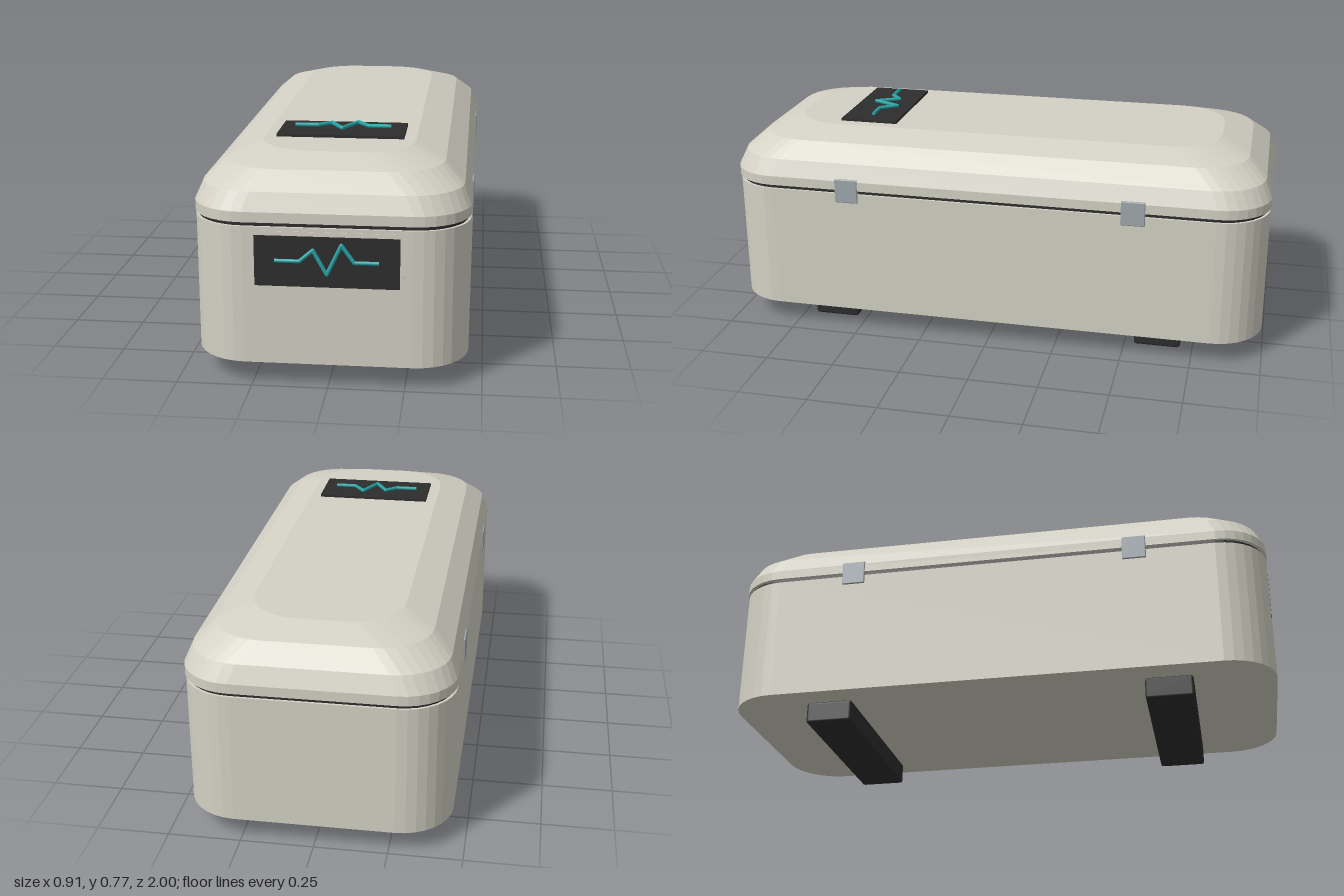
import * as THREE from 'three';
import { RoundedBoxGeometry } from 'three/addons/geometries/RoundedBoxGeometry.js';

// Outline of a rounded rectangle in the ground plane
function roundedRing(halfX, halfZ, radius, steps = 8) {
  const points = [];
  const corners = [[1, 1], [-1, 1], [-1, -1], [1, -1]];
  corners.forEach(([sx, sz], c) => {
    for (let i = 0; i <= steps; i++) {
      const a = (c + i / steps) * Math.PI / 2;
      points.push([
        sx * (halfX - radius) + radius * Math.cos(a),
        sz * (halfZ - radius) + radius * Math.sin(a),
      ]);
    }
  });
  return points;
}

// Closed shell through levels of [y, halfX, halfZ, radius], bottom to top
function shell(levels) {
  const rings = levels.map(([y, hx, hz, r]) =>
    roundedRing(hx, hz, r).map(([x, z]) => [x, y, z]));
  const pos = [];
  const tri = (...corners) => corners.forEach((p) => pos.push(...p));
  const n = rings[0].length;
  const low = rings[0], high = rings[rings.length - 1];
  for (let i = 0; i < n; i++) {
    const j = (i + 1) % n;
    for (let k = 0; k < rings.length - 1; k++) {
      const a = rings[k], b = rings[k + 1];
      tri(a[i], b[i], b[j]);
      tri(a[i], b[j], a[j]);
    }
    tri([0, low[0][1], 0], low[i], low[j]);
    tri([0, high[0][1], 0], high[j], high[i]);
  }
  const geometry = new THREE.BufferGeometry();
  geometry.setAttribute('position', new THREE.Float32BufferAttribute(pos, 3));
  geometry.computeVertexNormals();
  return geometry;
}

export function createModel() {
  const model = new THREE.Group();
  model.name = 'storageCase';

  const material = (name, color) => {
    const m = new THREE.MeshStandardMaterial({ color });
    m.name = name;
    return m;
  };
  const casing = material('warm grey casing', 0xd3d1c4);
  const dark = material('charcoal', 0x2d2d2d);
  const teal = material('teal', 0x27a3a4);
  const metal = material('latch grey', 0x9ea7ac);

  const add = (name, geometry, mat, x = 0, y = 0, z = 0, parent = model) => {
    const mesh = new THREE.Mesh(geometry, mat);
    mesh.name = name;
    mesh.position.set(x, y, z);
    parent.add(mesh);
    return mesh;
  };

  // Tub, recessed seal and domed lid
  add('tub', shell([[0.08, 0.452, 0.994, 0.18], [0.542, 0.452, 0.994, 0.18]]), casing);
  add('seal', shell([[0.535, 0.443, 0.985, 0.172], [0.565, 0.443, 0.985, 0.172]]), dark);
  const lidSteps = [[0.556, 0], [0.59, 0], [0.65, 0.025], [0.708, 0.09], [0.745, 0.195]];
  add('lid', shell(lidSteps.map(([y, inset]) =>
    [y, 0.454 - inset, 0.997 - inset, 0.18])), casing);

  // Two cross feet
  for (const s of [1, -1]) {
    add('foot', new RoundedBoxGeometry(0.72, 0.08, 0.17, 2, 0.01), dark, 0, 0.04, s * 0.62);
  }

  // Four latches across the seam
  for (const sx of [1, -1]) {
    for (const sz of [1, -1]) {
      add('latch', new RoundedBoxGeometry(0.02, 0.09, 0.086, 2, 0.004), metal,
        sx * 0.447, 0.553, sz * 0.525);
    }
  }

  // Pulse line made of short round bars, drawn in its own x-y plane
  const pulsePoints = [[-0.168, 0], [-0.088, 0], [-0.044, 0.038], [0, -0.042],
    [0.047, 0.057], [0.088, 0], [0.166, 0]].map(([x, y]) => new THREE.Vector3(x, y, 0));
  const up = new THREE.Vector3(0, 1, 0);
  const pulseLine = (name) => {
    const group = new THREE.Group();
    group.name = name;
    for (let i = 0; i < pulsePoints.length - 1; i++) {
      const a = pulsePoints[i], b = pulsePoints[i + 1];
      const dir = b.clone().sub(a);
      const bar = add('pulseBar', new THREE.CylinderGeometry(0.007, 0.007, dir.length(), 10), teal,
        (a.x + b.x) / 2, (a.y + b.y) / 2, 0, group);
      bar.quaternion.setFromUnitVectors(up, dir.normalize());
      if (i > 0) add('pulseJoint', new THREE.SphereGeometry(0.007, 10, 8), teal, a.x, a.y, 0, group);
    }
    model.add(group);
    return group;
  };

  // Front display with a slim frame
  add('frontFrame', new THREE.BoxGeometry(0.495, 0.197, 0.008), casing, 0, 0.431, 0.9915);
  add('frontPanel', new THREE.BoxGeometry(0.466, 0.168, 0.008), dark, 0, 0.431, 0.9932);
  pulseLine('frontPulse').position.set(0, 0.432, 0.995);

  // Lid display
  add('lidPanel', new THREE.BoxGeometry(0.436, 0.009, 0.215), dark, 0, 0.7505, 0.508);
  const lidPulse = pulseLine('lidPulse');
  lidPulse.position.set(0, 0.765, 0.505);
  lidPulse.rotation.x = -Math.PI / 2;

  return model;
}
